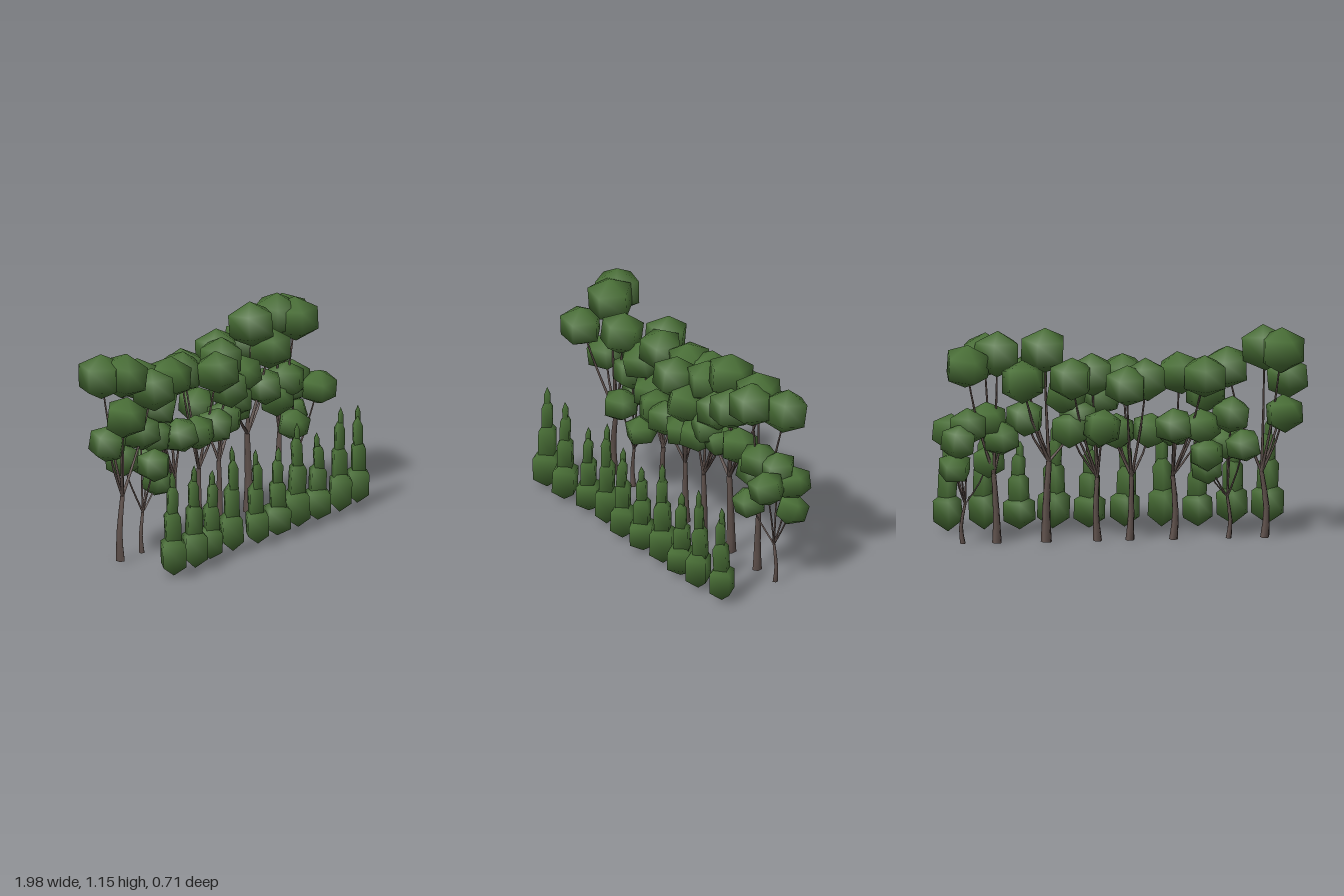
import * as THREE from 'three';

const leaf = new THREE.MeshStandardMaterial({ color: 0x4a7037 });
leaf.name = 'leafGreen';
const bark = new THREE.MeshStandardMaterial({ color: 0x5e504b });
bark.name = 'barkBrown';

const ROW_Z = -0.12;
let seed = 7;
const rand = () => (seed = (seed * 16807) % 2147483647) / 2147483647;
const jitter = (a) => (rand() * 2 - 1) * a;

function add(parent, geometry, material, name) {
  const mesh = new THREE.Mesh(geometry, material);
  mesh.name = name;
  parent.add(mesh);
  return mesh;
}

// Tapered five-sided limb that follows a curve through the given points
function limb(points, r0, r1) {
  const curve = new THREE.CatmullRomCurve3(points);
  const g = new THREE.CylinderGeometry(1, 1, 1, 5, 4);
  const p = g.attributes.position;
  for (let i = 0; i < p.count; i++) {
    const t = p.getY(i) + 0.5;
    const c = curve.getPoint(t);
    const r = r0 + (r1 - r0) * Math.pow(t, 0.7);
    p.setXYZ(i, c.x + p.getX(i) * r, c.y, c.z + p.getZ(i) * r);
  }
  g.computeVertexNormals();
  return g;
}

// Tree with a trunk forking at the given height; clumps are [offset x, y, z]
function makeTree(x, forkHeight, clumps, side = 1) {
  const tree = new THREE.Group();
  tree.name = 'tree';
  const radius = forkHeight * 0.07;
  const base = new THREE.Vector3(x, 0.01, ROW_Z);
  const bend = new THREE.Vector3(x + jitter(0.01), forkHeight * 0.45, ROW_Z);
  const fork = new THREE.Vector3(x + jitter(0.02), forkHeight, ROW_Z);
  add(tree, limb([base, bend, fork], radius, radius * 0.5), bark, 'trunk');
  for (const [dx, y, z] of clumps) {
    // Branch from the fork into the clump
    const end = new THREE.Vector3(x + dx * side, y, z);
    const mid = fork.clone().lerp(end, 0.5);
    mid.x += (end.x - fork.x) * 0.12;
    add(tree, limb([fork, mid, end], radius * 0.38, 0.004), bark, 'branch');
    // Five-sided clump of leaves, larger towards the crown
    const size = 0.07 + 0.068 * y;
    const clump = add(tree, new THREE.SphereGeometry(size, 5, 3), leaf, 'leafClump');
    clump.position.copy(end);
    clump.scale.y = 0.88;
    clump.rotation.set(jitter(0.2), rand() * 6.28, jitter(0.2));
  }
  return tree;
}

// Broad crown shared by the two mirrored trees beside the middle one
const BROAD_CROWN = [
  [-0.15, 0.9, -0.24], [-0.17, 0.79, -0.1], [-0.03, 0.9, -0.13],
  [0, 0.59, -0.08], [-0.15, 0.61, -0.14], [0.01, 0.64, -0.25],
];

// Remaining trees along the row
const TREES = [
  { x: -0.76, fork: 0.36, clumps: [[-0.08, 1.02, -0.19], [0, 1.02, -0.1],
    [-0.13, 0.84, 0], [-0.1, 0.67, -0.13], [0.19, 0.91, -0.05]] },
  { x: -0.57, fork: 0.23, clumps: [[-0.01, 0.67, -0.12], [-0.07, 0.52, -0.2],
    [0.12, 0.47, -0.18], [0.11, 0.38, -0.1], [0, 0.5, -0.04]] },
  { x: -0.05, fork: 0.35, clumps: [[-0.08, 0.88, -0.19], [0.03, 0.88, -0.03],
    [0.03, 0.86, -0.25], [-0.11, 0.58, -0.06], [0.06, 0.58, -0.06], [0.14, 0.77, -0.03]] },
  { x: 0.39, fork: 0.44, clumps: [[0.01, 1.03, -0.11], [0.1, 0.89, -0.06],
    [0.14, 0.89, -0.24], [0.11, 0.67, -0.1], [-0.17, 0.67, -0.1]] },
  { x: 0.65, fork: 0.38, clumps: [[0, 1.02, -0.13], [0.06, 1, -0.05],
    [0.17, 0.97, -0.19], [0.05, 0.66, -0.1], [-0.02, 0.57, -0.12]] },
  { x: 0.83, fork: 0.22, clumps: [[-0.02, 0.64, -0.15], [0.06, 0.59, -0.03],
    [0.03, 0.57, -0.21], [-0.14, 0.43, -0.05], [0.05, 0.43, -0.19]] },
];

// Front row shrub: four-sided tiers, each narrower and higher than the last
const SHRUB_HEIGHTS = [0.575, 0.565, 0.49, 0.58, 0.52, 0.49, 0.575, 0.48, 0.575, 0.54];
const TIERS = [[0.01, 0.42, 1], [0.22, 0.69, 0.66], [0.5, 0.9, 0.43], [0.72, 1, 0.23]];

function makeShrub(height, index) {
  const shrub = new THREE.Group();
  shrub.name = 'shrub';
  shrub.position.set(-0.82 + index * 0.188, 0, 0.248 + jitter(0.012));
  const radius = 0.093 + jitter(0.006);
  for (const [bottom, top, width] of TIERS) {
    const tier = add(shrub, new THREE.SphereGeometry(1, 4, 3), leaf, 'shrubTier');
    tier.scale.set(radius * width, (top - bottom) * height / 2, radius * width);
    tier.position.set(jitter(0.005), (bottom + top) * height / 2, jitter(0.005));
    tier.rotation.set(jitter(0.05), jitter(0.08), jitter(0.05));
  }
  return shrub;
}

export function createModel() {
  seed = 7;
  const grove = new THREE.Group();
  grove.name = 'grove';
  for (const t of TREES) grove.add(makeTree(t.x, t.fork, t.clumps));
  for (const side of [1, -1]) grove.add(makeTree(-0.08 - side * 0.2, 0.35, BROAD_CROWN, side));
  SHRUB_HEIGHTS.forEach((height, i) => grove.add(makeShrub(height, i)));
  return grove;
}
